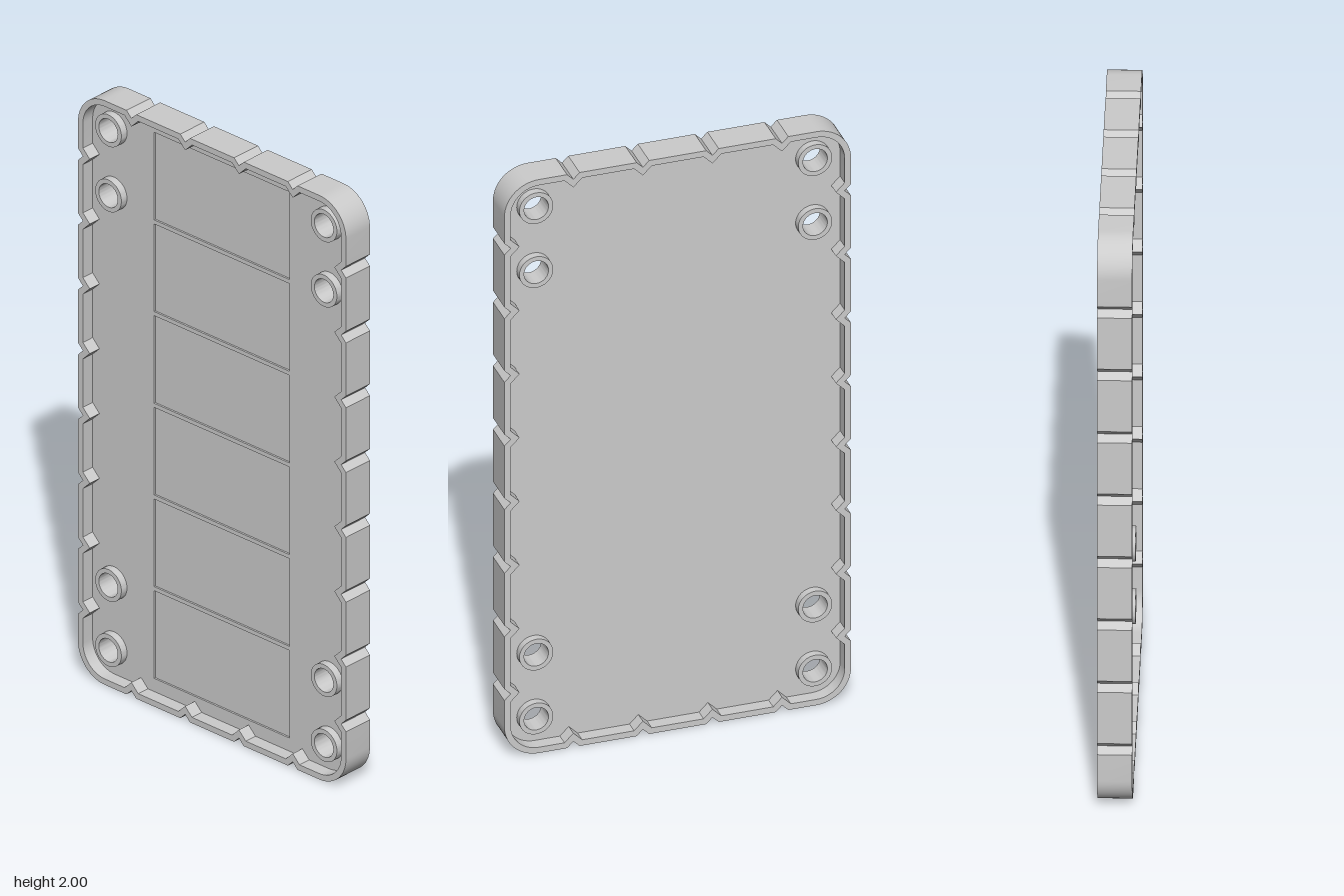
import * as THREE from 'three';
import { toCreasedNormals } from 'three/addons/utils/BufferGeometryUtils.js';

const W = 0.553, H = 1, R = 0.11, PITCH = 0.222;
const RIM_Z = 0.053, BOSS_Z = 0.035, FLOOR_Z = 0.01, POCKET_Z = 0.004;

const material = new THREE.MeshStandardMaterial({ color: 0xcccccc });

// Rounded rectangle with V notches along each side, shrunk by an inset
function outline(inset) {
  const w = W - inset, h = H - inset, r = R - inset;
  const half = 0.02 + inset * 0.41, depth = 0.02 + inset * 0.41;
  const pts = [];
  // Each side: half length along it, distance from centre, notch count
  const sides = [[h, w, 8], [w, h, 4], [h, w, 8], [w, h, 4]];
  sides.forEach(([len, dist, count], i) => {
    const angle = i * Math.PI / 2, c = Math.cos(angle), s = Math.sin(angle);
    const add = (out, along) =>
      pts.push(new THREE.Vector2(out * c - along * s, out * s + along * c));
    for (let k = 0; k < count; k++) {
      const t = (k - (count - 1) / 2) * PITCH;
      add(dist, t - half);
      add(dist - depth, t);
      add(dist, t + half);
    }
    for (let k = 0; k <= 14; k++) {
      const a = k / 14 * Math.PI / 2;
      add(dist - r + r * Math.cos(a), len - r + r * Math.sin(a));
    }
  });
  return pts;
}

function circle(x, y, r) {
  return new THREE.Path().absarc(x, y, r, 0, Math.PI * 2, true);
}

// Extrude a shape between two depths
function slab(name, shape, z0, z1) {
  const geometry = new THREE.ExtrudeGeometry(shape, {
    depth: z1 - z0, bevelEnabled: false, curveSegments: 24,
  });
  geometry.translate(0, H, z0);
  const mesh = new THREE.Mesh(toCreasedNormals(geometry, 0.5), material);
  mesh.name = name;
  return mesh;
}

export function createModel() {
  const group = new THREE.Group();
  group.name = 'notchedPanel';

  const holes = [];
  for (const x of [-0.445, 0.445])
    for (const y of [-0.89, -0.667, 0.667, 0.89]) holes.push([x, y]);

  // Rim standing proud on both faces
  const rim = new THREE.Shape(outline(0));
  rim.holes.push(new THREE.Path(outline(0.02)));
  group.add(slab('rim', rim, -RIM_Z, RIM_Z));

  // Web closing the rim, its front layer cut by six shallow pockets
  const web = () => {
    const shape = new THREE.Shape(outline(0.01));
    holes.forEach(([x, y]) => shape.holes.push(circle(x, y, 0.046)));
    return shape;
  };
  group.add(slab('backWeb', web(), -FLOOR_Z, POCKET_Z));
  const front = web();
  for (let i = 0; i < 6; i++) {
    const y0 = -0.935 + i * 0.314, y1 = y0 + 0.3;
    front.holes.push(new THREE.Path([
      new THREE.Vector2(-0.28, y0), new THREE.Vector2(-0.28, y1),
      new THREE.Vector2(0.28, y1), new THREE.Vector2(0.28, y0),
    ]));
  }
  group.add(slab('frontWebWithPockets', front, POCKET_Z, FLOOR_Z));

  // Screw bosses with through holes
  for (const [x, y] of holes) {
    const ring = new THREE.Shape().absarc(x, y, 0.054, 0, Math.PI * 2, false);
    ring.holes.push(circle(x, y, 0.039));
    group.add(slab('screwBoss', ring, -BOSS_Z, BOSS_Z));
  }
  return group;
}
